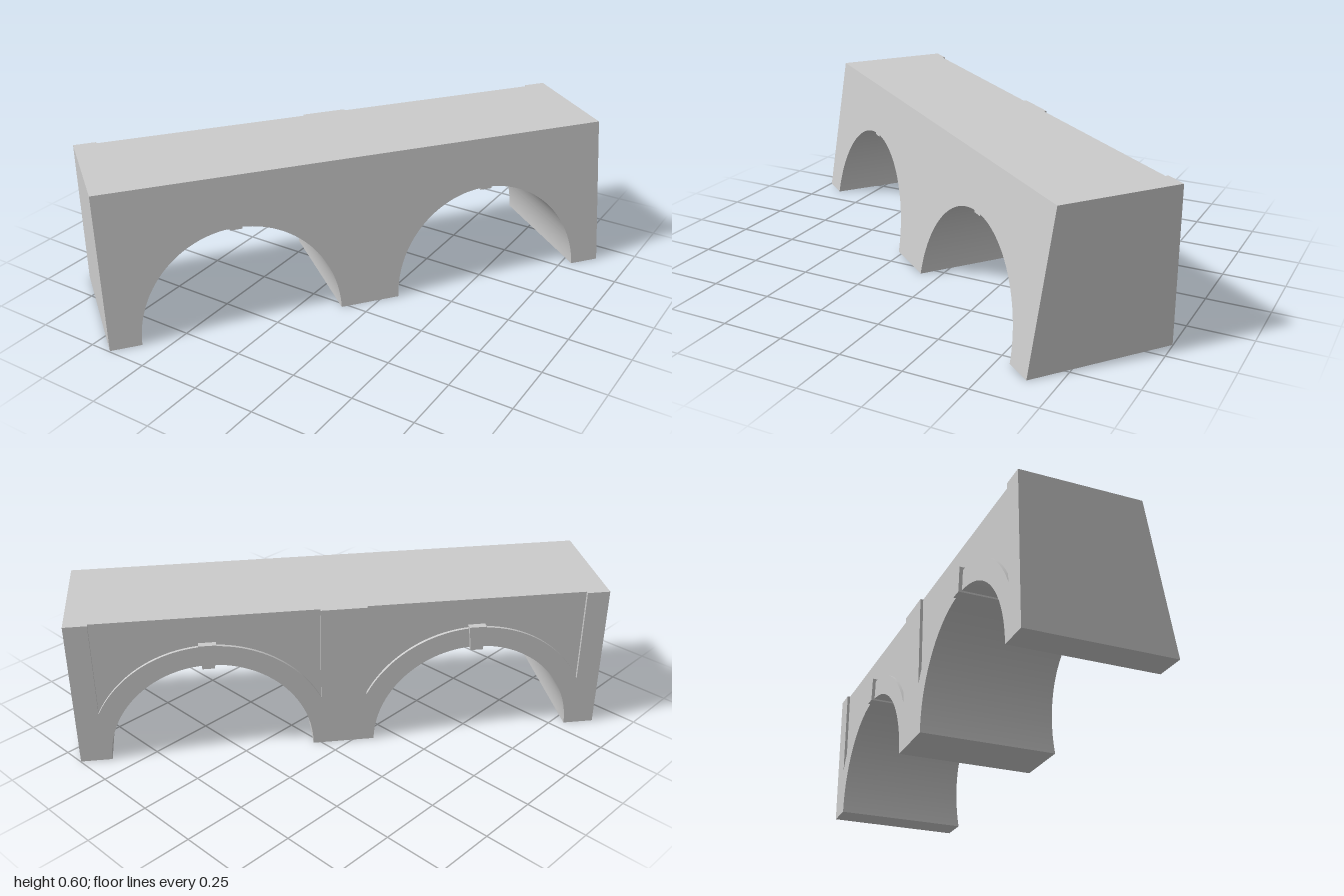
import * as THREE from 'three';
import { toCreasedNormals } from 'three/addons/utils/BufferGeometryUtils.js';

const HALF = 1.04, HEIGHT = 0.6, BACK = -0.29, RECESS = 0.012;
const ARCH_X = 0.52, ARCH_R = 0.398, BAND_R = 0.48, PANEL = 0.43;
const KEY = 0.024, KEY_Y = 0.39;

// Wall outline with two arches (each with a keystone ridge at its crown);
// the optional panels are cut down from the top to the arch band.
function wallShape(withPanels) {
  const s = new THREE.Shape();
  const crown = Math.acos(KEY / ARCH_R);
  s.moveTo(-HALF, 0);
  for (const cx of [-ARCH_X, ARCH_X]) {
    s.lineTo(cx - ARCH_R, 0);
    s.absarc(cx, 0, ARCH_R, Math.PI, Math.PI - crown, true);
    s.lineTo(cx - KEY, KEY_Y);
    s.lineTo(cx + KEY, KEY_Y);
    s.absarc(cx, 0, ARCH_R, crown, 0, true);
  }
  s.lineTo(HALF, 0);
  s.lineTo(HALF, HEIGHT);
  if (withPanels) {
    const a = Math.acos(PANEL / BAND_R);
    for (const cx of [ARCH_X, -ARCH_X]) {
      s.lineTo(cx + PANEL, HEIGHT);
      s.absarc(cx, 0, BAND_R, a, Math.PI - a, false);
      s.lineTo(cx - PANEL, HEIGHT);
    }
  }
  s.lineTo(-HALF, HEIGHT);
  return s;
}

function extrude(shape, depth, z) {
  const g = new THREE.ExtrudeGeometry(shape, { depth, bevelEnabled: false, curveSegments: 32 });
  return g.translate(0, 0, z);
}

export function createModel() {
  const model = new THREE.Group();
  model.name = 'archedWall';
  const material = new THREE.MeshStandardMaterial({ color: 0xcccccc });
  const add = (name, geometry) => {
    const mesh = new THREE.Mesh(toCreasedNormals(geometry, 0.5), material);
    mesh.name = name;
    model.add(mesh);
  };

  // Main body, its front face leaning back towards the top
  const body = extrude(wallShape(false), 0.5, BACK + RECESS);
  const p = body.attributes.position;
  for (let i = 0; i < p.count; i++) {
    if (p.getZ(i) > 0) p.setZ(i, 0.286 - 0.098 * p.getY(i) / HEIGHT);
  }
  add('body', body);

  // Thin back facing that leaves the spandrel panels recessed
  add('backFacing', extrude(wallShape(true), RECESS, BACK));

  // Tapered keystones standing proud of the back face
  for (const cx of [-ARCH_X, ARCH_X]) {
    const key = new THREE.Shape([
      new THREE.Vector2(cx - KEY, KEY_Y),
      new THREE.Vector2(cx + KEY, KEY_Y),
      new THREE.Vector2(cx + 0.034, 0.49),
      new THREE.Vector2(cx - 0.034, 0.49),
    ]);
    add('keystone', extrude(key, 0.03, BACK - 0.014));
  }

  // The wall stands diagonally in plan
  model.rotation.y = Math.atan2(1.64, 1.28);
  const root = new THREE.Group();
  root.name = 'bridge';
  root.add(model);
  return root;
}
